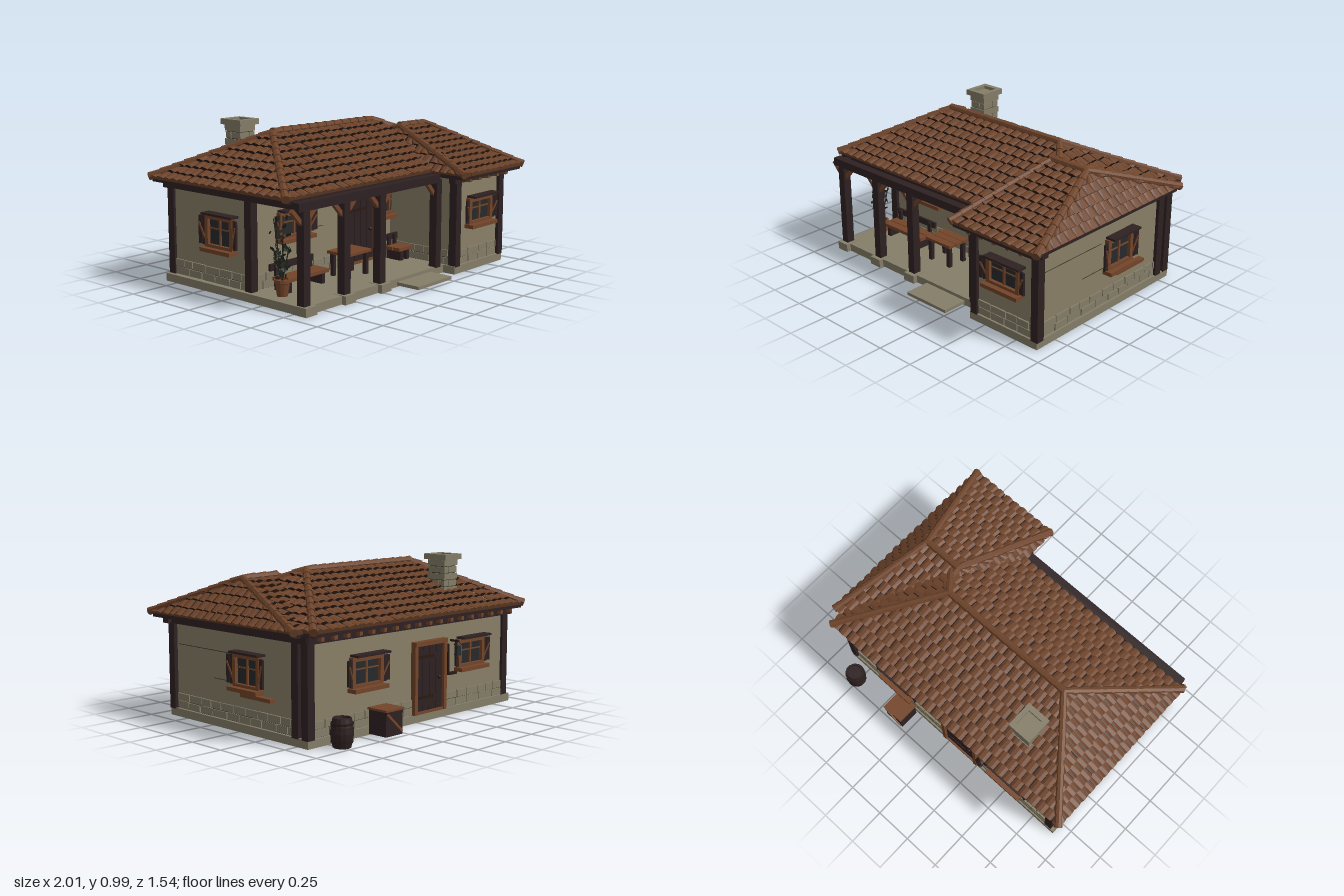
import * as THREE from 'three';

const mat = (name, color, side = THREE.FrontSide) => {
  const m = new THREE.MeshStandardMaterial({ color, side, flatShading: true });
  m.name = name;
  return m;
};

export function createModel() {
  const root = new THREE.Group();
  root.name = 'cottage';
  const plaster = mat('plaster', 0x8a8068), stone = mat('stone', 0x857d68);
  const dark = mat('darkWood', 0x2e2122), wood = mat('brownWood', 0x74452a);
  const tile = mat('roofTile', 0x6e442b, THREE.DoubleSide), gap = mat('shadowGap', 0x2a1a13, THREE.DoubleSide);
  const glass = mat('glass', 0x27292b), leaf = mat('leaf', 0x262922, THREE.DoubleSide);
  const mortar = mat('mortar', 0x3f392d);

  let seed = 7;
  const rnd = () => (seed = (seed * 16807) % 2147483647) / 2147483647;
  const V = (x, y, z) => new THREE.Vector3(x, y, z);
  const add = (parent, name, geo, m, x = 0, y = 0, z = 0) => {
    const mesh = new THREE.Mesh(geo, m);
    mesh.name = name;
    mesh.position.set(x, y, z);
    parent.add(mesh);
    return mesh;
  };
  // box given by its ranges on each axis
  const box = (p, name, m, x0, x1, y0, y1, z0, z1) => add(p, name,
    new THREE.BoxGeometry(x1 - x0, y1 - y0, z1 - z0), m, (x0 + x1) / 2, (y0 + y1) / 2, (z0 + z1) / 2);
  // bar of square section between two points
  const bar = (p, name, m, a, b, t) => {
    const d = b.clone().sub(a);
    const mesh = add(p, name, new THREE.BoxGeometry(t, d.length(), t), m);
    mesh.position.copy(a).add(b).multiplyScalar(0.5);
    mesh.quaternion.setFromUnitVectors(V(0, 1, 0), d.normalize());
    return mesh;
  };
  // group whose local +z points out of a wall
  const onWall = (name, x, z, ry) => {
    const g = new THREE.Group();
    g.name = name;
    g.position.set(x, 0, z);
    g.rotation.y = ry;
    root.add(g);
    return g;
  };
  const F = 0, B = Math.PI, R = Math.PI / 2, L = -Math.PI / 2;

  // foundation, step and post pads
  box(root, 'foundation', stone, -0.92, 0.4, 0, 0.05, -0.59, 0.57);
  box(root, 'wingFoundation', stone, 0.38, 0.91, 0, 0.05, -0.59, 0.66);
  box(root, 'step', stone, -0.09, 0.245, 0.01, 0.03, 0.56, 0.735);
  for (const x of [-0.88, -0.55, -0.225]) box(root, 'postPad', stone, x - 0.045, x + 0.045, 0, 0.052, 0.5, 0.6);

  // walls
  box(root, 'mainWalls', plaster, -0.88, 0.87, 0.04, 0.63, -0.57, 0.12);
  box(root, 'wingWalls', plaster, 0.4, 0.89, 0.04, 0.63, -0.5, 0.64);

  // brick courses along the wall feet
  const bricks = (name, x, z, ry, len) => {
    const g = onWall(name, x, z, ry);
    box(g, 'mortarBed', mortar, -len / 2, len / 2, 0.05, 0.143, -0.01, 0.003);
    for (let r = 0; r < 2; r++) {
      let u = -len / 2;
      while (u < len / 2 - 0.01) {
        const e = Math.min(len / 2, u + (r ? 0.075 : 0.09) + rnd() * 0.05);
        const y = 0.053 + r * 0.048;
        box(g, 'brick', stone, u, Math.max(u + 0.01, e - 0.006), y, y + 0.042 + rnd() * 0.003, -0.01, 0.008 + rnd() * 0.004);
        u = e;
      }
    }
  };
  bricks('frontBricks', -0.48, 0.12, F, 0.8);
  bricks('frontBricksRight', 0.31, 0.12, F, 0.16);
  bricks('wingBricks', 0.65, 0.64, F, 0.42);
  bricks('wingSideBricks', 0.4, 0.37, L, 0.46);
  bricks('rightBricks', 0.89, 0.07, R, 1.06);
  bricks('leftBricks', -0.88, -0.22, L, 0.64);
  bricks('backBricksA', 0.44, -0.57, B, 0.82);
  bricks('backBricksB', -0.56, -0.57, B, 0.58);

  // corner posts and porch posts
  for (const [x, z] of [[-0.87, -0.56], [-0.87, 0.115], [0.885, -0.565], [0.885, -0.485], [0.89, 0.635],
    [0.412, 0.635], [0.318, 0.55], [-0.885, 0.545], [-0.55, 0.545], [-0.228, 0.545]])
    box(root, 'post', dark, x - 0.026, x + 0.026, 0.045, 0.61, z - 0.027, z + 0.027);

  // plates, fascia and eave soffits
  box(root, 'porchBeam', dark, -0.95, 0.33, 0.59, 0.64, 0.52, 0.575);
  box(root, 'wingFrontBeam', dark, 0.36, 0.95, 0.585, 0.625, 0.62, 0.67);
  box(root, 'rightBeam', dark, 0.88, 0.925, 0.585, 0.625, -0.6, 0.67);
  box(root, 'leftBeam', dark, -0.915, -0.86, 0.59, 0.635, -0.6, 0.57);
  box(root, 'backBeam', dark, -0.91, 0.92, 0.585, 0.635, -0.61, -0.55);
  box(root, 'frontWallBeam', dark, -0.88, 0.4, 0.585, 0.63, 0.1, 0.14);
  box(root, 'mainSoffit', dark, -0.965, 0.91, 0.625, 0.652, -0.645, 0.5);
  box(root, 'wingSoffit', dark, 0.34, 0.97, 0.618, 0.65, -0.55, 0.75);
  for (let i = 0; i < 18; i++) {
    const x = -0.86 + i * 0.1;
    box(root, 'rafterEnd', wood, x - 0.012, x + 0.012, 0.6, 0.628, -0.64, -0.56);
    if (x > 0.36) box(root, 'rafterEnd', wood, x - 0.012, x + 0.012, 0.595, 0.62, 0.64, 0.73);
  }

  // diagonal porch braces
  for (const x of [-0.885, -0.55, -0.228, 0.318]) for (const s of [-1, 1])
    if (!(x > 0.3 && s > 0)) bar(root, 'brace', wood, V(x + s * 0.015, 0.515, 0.545), V(x + s * 0.095, 0.6, 0.545), 0.024);

  // one roof slope of lapped tiles: a,b eave corners left to right from outside, c,d ridge
  const slope = (name, a, b, c, d) => {
    const e = b.clone().sub(a), len = e.length();
    e.normalize();
    const ad = d.clone().sub(a), uL = ad.dot(e), uR = c.clone().sub(b).dot(e);
    const s = ad.clone().addScaledVector(e, -uL), n = e.clone().cross(s).normalize();
    const rows = Math.round(s.length() / 0.068), w = 0.066, pos = [[], []];
    const at = (u, v, h) => {
      const cu = Math.min(Math.max(u, uL * v), len + uR * v);
      return a.clone().addScaledVector(e, cu).addScaledVector(s, v).addScaledVector(n, h);
    };
    const quad = (k, p, q, r, t) => { for (const x of [p, q, r, p, r, t]) pos[k].push(x.x, x.y, x.z); };
    const prof = [[0, 0], [0.1, 0], [0.35, 0.011], [0.7, 0.011], [1, 0]];
    for (let r = 0; r < rows; r++) {
      for (let k = -1; k < len / w + 1; k++) {
        const u0 = (k + (r % 2) * 0.5 + (rnd() - 0.5) * 0.14) * w, lift = 0.009 + rnd() * 0.006;
        const v0 = (r - rnd() * 0.12 * (r > 0)) / rows, v1 = (r + 1) / rows;
        for (let i = 0; i < 4; i++) {
          const [p, h] = prof[i], [q, g] = prof[i + 1], ua = u0 + p * w, ub = u0 + q * w * 1.04;
          if (ub < uL * v0 || ua > len + uR * v0) continue;
          const A = at(ua, v0, h + lift), C = at(ub, v0, g + lift);
          quad(i ? 0 : 1, A, C, at(ub, v1, g * 0.7), at(ua, v1, h * 0.7));
          quad(r ? 1 : 0, at(ua, v0, -0.006), at(ub, v0, -0.006), C, A);
        }
      }
    }
    const geo = new THREE.BufferGeometry();
    geo.setAttribute('position', new THREE.Float32BufferAttribute(pos[0].concat(pos[1]), 3));
    geo.addGroup(0, pos[0].length / 3, 0);
    geo.addGroup(pos[0].length / 3, pos[1].length / 3, 1);
    geo.computeVertexNormals();
    add(root, name, geo, [tile, gap]);
  };
  // row of rounded cap tiles from low point to high point
  const caps = (name, p, q) => {
    const d = q.clone().sub(p), n = Math.round(d.length() / 0.08), step = d.length() / n;
    d.normalize();
    for (let i = 0; i < n; i++) {
      const m = add(root, name, new THREE.CylinderGeometry(0.02, 0.026, step * 1.1, 8), tile);
      m.position.copy(p).addScaledVector(d, (i + 0.5) * step);
      m.quaternion.setFromUnitVectors(V(0, 1, 0), d);
    }
  };
  const hipRoof = (name, x0, x1, z0, z1, y, rx0, rx1, rz, ry) => {
    const fl = V(x0, y, z1), fr = V(x1, y, z1), bl = V(x0, y, z0), br = V(x1, y, z0);
    const l = V(rx0, ry, rz), r = V(rx1, ry, rz);
    slope(name + 'Front', fl, fr, r, l);
    slope(name + 'Back', br, bl, l, r);
    slope(name + 'Right', fr, br, r, r);
    slope(name + 'Left', bl, fl, l, l);
    for (const [p, q] of [[fl, l], [bl, l], [fr, r], [br, r], [l, r]])
      caps(name + 'Cap', p.clone().setY(p.y + 0.008), q.clone().setY(q.y + 0.005));
  };
  hipRoof('mainRoof', -0.982, 0.92, -0.648, 0.505, 0.65, -0.5, 0.43, -0.07, 0.925);
  hipRoof('wingRoof', 0.33, 0.982, -0.56, 0.76, 0.645, 0.52, 0.78, 0.1, 0.885);

  // chimney of staggered blocks with an open cap
  box(root, 'chimneyCore', mortar, -0.545, -0.435, 0.7, 0.955, -0.425, -0.305);
  for (let r = 0; r < 6; r++) {
    const y = 0.7 + r * 0.043, j = 0.004 * (r % 2);
    for (let i = 0; i < 2; i++) for (let k = 0; k < 2; k++) {
      const x = r % 2 ? [-0.55, -0.505, -0.5, -0.43] : [-0.55, -0.475, -0.47, -0.43];
      const z = r % 2 ? [-0.43, -0.35, -0.345, -0.3] : [-0.43, -0.385, -0.38, -0.3];
      box(root, 'chimneyBlock', stone, x[i * 2] - j, x[i * 2 + 1] + j, y, y + 0.038, z[k * 2] - j, z[k * 2 + 1] + j);
    }
  }
  box(root, 'chimneyCapFloor', stone, -0.565, -0.415, 0.955, 0.97, -0.45, -0.28);
  for (const [x0, x1, z0, z1] of [[-0.57, -0.54, -0.455, -0.277], [-0.44, -0.41, -0.455, -0.277],
    [-0.54, -0.44, -0.455, -0.42], [-0.54, -0.44, -0.312, -0.277]])
    box(root, 'chimneyCap', stone, x0, x1, 0.955, 0.99, z0, z1);

  // shuttered windows
  const windowAt = (x, y, z, ry, w = 0.24, h = 0.19) => {
    const g = onWall('window', x, z, ry), a = w / 2, y0 = y - h / 2, y1 = y + h / 2;
    box(g, 'glass', glass, -a, a, y0, y1, 0, 0.008);
    for (const s of [-1, 1]) {
      box(g, 'frameSide', wood, s * a - 0.013, s * a + 0.013, y0, y1, 0, 0.03);
      const sh = new THREE.Group();
      sh.name = 'shutter';
      sh.position.set(s * (a + 0.012), 0, 0.012);
      sh.rotation.y = -s * 0.35;
      g.add(sh);
      for (let i = 0; i < 2; i++)
        box(sh, 'shutterBoard', dark, s * (0.015 + i * 0.024) - 0.011, s * (0.015 + i * 0.024) + 0.011, y0 + 0.012 + i * 0.006, y1 - 0.012, 0, 0.012);
      bar(sh, 'shutterBrace', wood, V(s * 0.006, y0 + 0.05, 0.014), V(s * 0.045, y1 - 0.05, 0.014), 0.009);
    }
    box(g, 'frameTop', wood, -a, a, y1 - 0.026, y1, 0, 0.03);
    box(g, 'frameBottom', wood, -a, a, y0, y0 + 0.02, 0, 0.03);
    box(g, 'mullion', wood, -0.007, 0.007, y0, y1, 0, 0.018);
    box(g, 'crossBar', wood, -a, a, y + 0.012, y + 0.02, 0, 0.014);
    box(g, 'sill', wood, -a - 0.025, a + 0.025, y0 - 0.022, y0 + 0.002, 0, 0.065);
    box(g, 'hood', dark, -a - 0.005, a + 0.04, y1 + 0.002, y1 + 0.015, 0, 0.065);
  };
  windowAt(-0.53, 0.405, 0.12, F, 0.24, 0.16);
  windowAt(0.65, 0.385, 0.64, F, 0.23, 0.17);
  windowAt(0.37, 0.405, 0.12, F, 0.14, 0.16);
  windowAt(0.89, 0.37, -0.075, R, 0.21, 0.2);
  windowAt(-0.88, 0.37, -0.12, L, 0.21, 0.2);
  windowAt(0.44, 0.38, -0.57, B, 0.23, 0.18);
  windowAt(-0.51, 0.38, -0.57, B, 0.23, 0.18);
  box(root, 'ledgePlank', wood, 0.88, 0.93, 0.218, 0.24, -0.3, -0.04);

  // plank doors
  const doorAt = (x, z, ry) => {
    const g = onWall('door', x, z, ry);
    for (const s of [-1, 1]) box(g, 'doorPost', wood, s * 0.135 - 0.013, s * 0.135 + 0.013, 0.05, 0.495, 0, 0.035);
    box(g, 'doorLintel', wood, -0.148, 0.148, 0.47, 0.497, 0, 0.04);
    box(g, 'doorSill', wood, -0.122, 0.122, 0.05, 0.065, 0, 0.03);
    box(g, 'doorGap', gap, -0.122, 0.122, 0.05, 0.47, 0, 0.008);
    for (let i = 0; i < 4; i++) box(g, 'doorPlank', dark, -0.12 + i * 0.061, -0.063 + i * 0.061, 0.065, 0.468, 0, 0.018);
    for (const y of [0.14, 0.39]) box(g, 'strapHinge', gap, -0.12, 0.04, y, y + 0.018, 0.018, 0.023);
    add(g, 'knob', new THREE.SphereGeometry(0.012, 8, 6), gap, 0.085, 0.26, 0.026);
  };
  doorAt(0.077, 0.12, F);
  doorAt(-0.11, -0.57, B);

  // thin plaster cracks
  box(root, 'crack', mortar, 0.885, 0.892, 0.453, 0.457, 0.08, 0.59);
  box(root, 'crack', mortar, 0.885, 0.892, 0.285, 0.289, 0.03, 0.25);
  box(root, 'crack', mortar, -0.4, -0.26, 0.345, 0.349, 0.11, 0.122);

  // benches with backrests, and the table
  const bench = (x0, x1) => {
    for (let i = 0; i < 2; i++) box(root, 'benchSeat', wood, x0, x1, 0.115, 0.137, 0.2 + i * 0.06, 0.255 + i * 0.06);
    box(root, 'benchBack', dark, x0, x1, 0.165, 0.205, 0.17, 0.187);
    for (const x of [x0 + 0.04, x1 - 0.04]) {
      box(root, 'benchLeg', dark, x - 0.015, x + 0.015, 0.05, 0.115, 0.21, 0.305);
      box(root, 'benchBackPost', dark, x - 0.012, x + 0.012, 0.05, 0.2, 0.187, 0.203);
    }
  };
  bench(-0.785, -0.42);
  bench(0.255, 0.395);
  for (let i = 0; i < 3; i++) box(root, 'tableTop', wood, -0.31, -0.09, 0.19, 0.208, 0.2 + i * 0.057, 0.254 + i * 0.057);
  for (const x of [-0.283, -0.117]) for (const z of [0.225, 0.345])
    box(root, 'tableLeg', dark, x - 0.013, x + 0.013, 0.05, 0.19, z - 0.013, z + 0.013);

  // potted climber
  const lathe = (pts, seg) => new THREE.LatheGeometry(pts.map(p => new THREE.Vector2(...p)), seg);
  add(root, 'pot', lathe([[0, 0], [0.032, 0], [0.043, 0.075], [0.05, 0.08], [0.05, 0.1], [0.038, 0.1], [0.036, 0.085], [0, 0.085]], 12), wood, -0.815, 0.05, 0.31);
  for (let i = 0; i < 4; i++) {
    const top = V(-0.88 + i * 0.042, 0.34 + (i % 2) * 0.16, 0.26 + rnd() * 0.1), foot = V(-0.815, 0.13, 0.31);
    bar(root, 'stem', leaf, foot, top, 0.005);
    for (let k = 0; k < 13; k++) {
      const l = add(root, 'leaf', new THREE.CircleGeometry(0.019, 5), leaf);
      l.position.lerpVectors(foot, top, 0.15 + k * 0.07).add(V((rnd() - 0.5) * 0.05, 0, (rnd() - 0.5) * 0.05));
      l.scale.set(0.6, 1.1, 1);
      l.rotation.set(rnd() * 2 - 1, rnd() * 3, rnd() * 3);
    }
  }

  // barrel, crate and lantern behind the house
  add(root, 'barrel', lathe([[0, 0], [0.052, 0], [0.064, 0.05], [0.067, 0.083], [0.064, 0.12], [0.053, 0.168], [0.046, 0.168], [0.044, 0.155], [0, 0.155]], 14), dark, 0.755, 0.008, -0.7);
  for (const [y, r] of [[0.035, 0.061], [0.135, 0.063]])
    add(root, 'barrelHoop', new THREE.CylinderGeometry(r + 0.002, r + 0.002, 0.012, 14), gap, 0.755, y + 0.008, -0.7);
  box(root, 'crate', dark, 0.295, 0.435, 0.01, 0.155, -0.735, -0.6);
  box(root, 'crateLid', wood, 0.288, 0.442, 0.155, 0.168, -0.742, -0.595);
  bar(root, 'crateBrace', wood, V(0.305, 0.03, -0.737), V(0.425, 0.14, -0.737), 0.014);
  bar(root, 'lanternArm', gap, V(-0.33, 0.47, -0.56), V(-0.33, 0.47, -0.635), 0.012);
  add(root, 'lantern', new THREE.CylinderGeometry(0.018, 0.024, 0.065, 6), glass, -0.33, 0.415, -0.63);
  add(root, 'lanternRoof', new THREE.ConeGeometry(0.03, 0.022, 6), gap, -0.33, 0.457, -0.63);
  box(root, 'hookRail', gap, -0.37, -0.29, 0.255, 0.27, -0.595, -0.565);
  box(root, 'hookPole', gap, -0.305, -0.295, 0.26, 0.45, -0.585, -0.565);
  return root;
}
